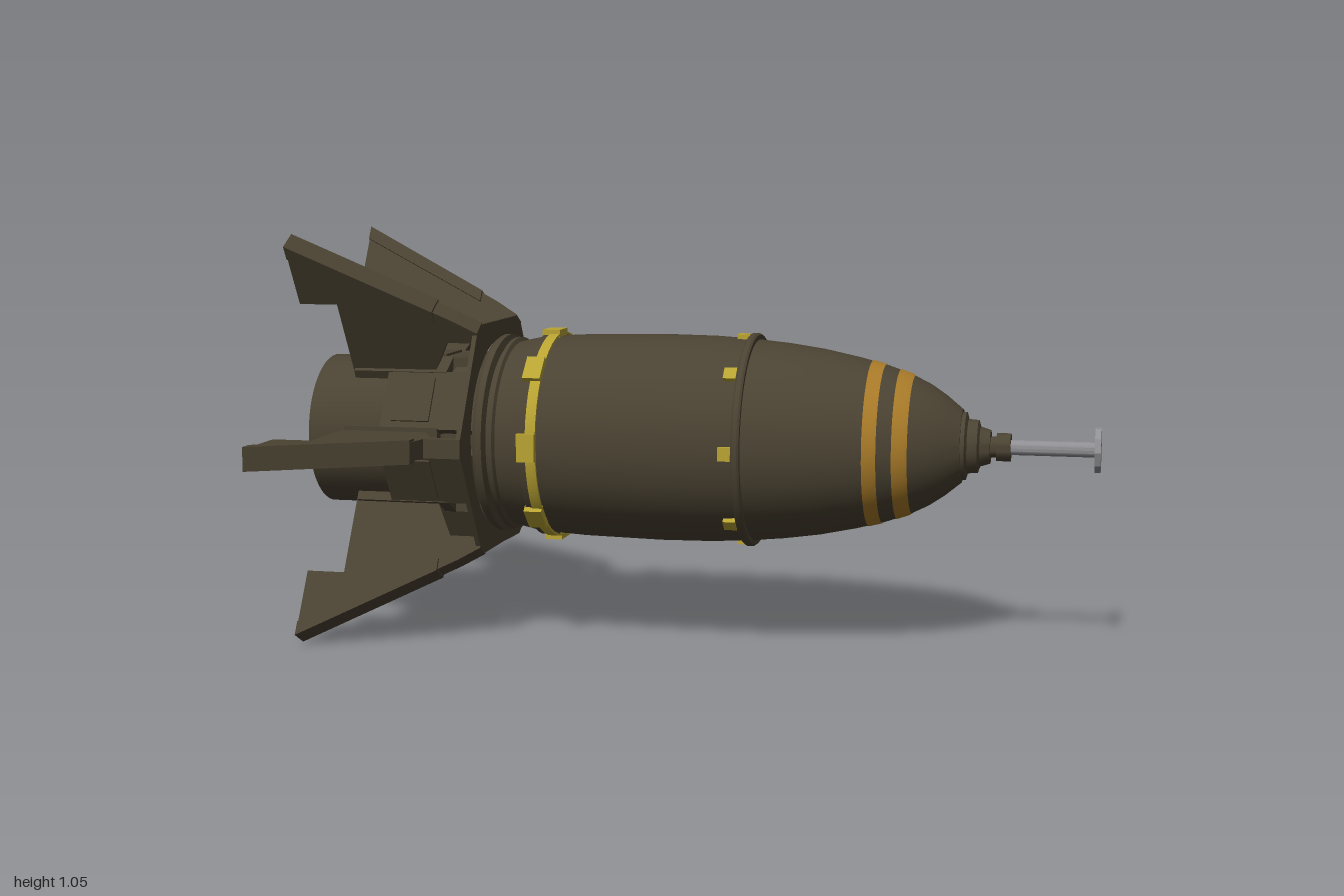
import * as THREE from 'three';
import { toCreasedNormals } from 'three/addons/utils/BufferGeometryUtils.js';

const mat = (name, color, side = THREE.FrontSide) => {
  const m = new THREE.MeshStandardMaterial({ color, side });
  m.name = name;
  return m;
};

export function createModel() {
  const olive = mat('olive drab', 0x4a4232);
  const gold = mat('ochre stripe', 0xa87a28);
  const yellow = mat('yellow paint', 0xb8a332);
  const steel = mat('steel', 0x909094);

  const model = new THREE.Group();
  model.name = 'finnedBomb';
  const bomb = new THREE.Group();
  bomb.name = 'bombAssembly';
  bomb.position.y = 0.523;
  model.add(bomb);

  const add = (name, geo, material, parent = bomb) => {
    const mesh = new THREE.Mesh(geo, material);
    mesh.name = name;
    parent.add(mesh);
    return mesh;
  };

  // Turned part: profile of [x, radius] revolved about the x axis
  const turned = (name, profile, material, sides = 48) => {
    const geo = new THREE.LatheGeometry(profile.map(([x, r]) => new THREE.Vector2(r, x)), sides);
    geo.rotateZ(-Math.PI / 2);
    return add(name, toCreasedNormals(geo, 0.5), material);
  };

  // Group turned around the long axis; its +y points radially outward
  const spoke = (name, angle) => {
    const g = new THREE.Group();
    g.name = name;
    g.rotation.x = angle;
    bomb.add(g);
    return g;
  };

  // Flat plate in the x/radius plane, centred on its thickness
  const plate = (points, thickness) => {
    const shape = new THREE.Shape(points.map(([x, r]) => new THREE.Vector2(x, r)));
    const geo = new THREE.ExtrudeGeometry(shape, { depth: thickness, bevelEnabled: false });
    return geo.translate(0, 0, -thickness / 2);
  };

  // Main casing and nose
  const hull = [
    [-0.42, 0.254], [-0.3, 0.261], [-0.1, 0.265], [0.03, 0.263], [0.13, 0.257],
    [0.22, 0.248], [0.31, 0.235], [0.4, 0.216], [0.47, 0.198], [0.53, 0.177],
    [0.58, 0.152], [0.62, 0.125], [0.66, 0.092],
  ];
  turned('casing', [
    [-0.54, 0], [-0.54, 0.25], [-0.53, 0.257], [-0.515, 0.257], [-0.51, 0.235], [-0.505, 0.235],
    [-0.5, 0.25], [-0.49, 0.25], [-0.485, 0.24], ...hull, [0.66, 0],
  ], olive, 64);
  turned('fuzeCollar', [
    [0.65, 0], [0.65, 0.085], [0.67, 0.085], [0.675, 0.068], [0.7, 0.066], [0.705, 0.05],
    [0.73, 0.042], [0.73, 0.026], [0.745, 0.026], [0.745, 0.035], [0.78, 0.035], [0.78, 0],
  ], olive, 32);
  turned('fuzeRod', [[0.77, 0.019], [0.99, 0.019]], steel, 16);
  turned('fuzeDisc', [[0.985, 0], [0.985, 0.057], [1, 0.057], [1, 0]], steel, 10);

  // Painted nose stripes following the hull curve
  const hullRadius = (x) => {
    const i = hull.findIndex((p) => p[0] >= x);
    const [x0, r0] = hull[i - 1], [x1, r1] = hull[i];
    return r0 + (r1 - r0) * (x - x0) / (x1 - x0);
  };
  for (const [a, b] of [[0.433, 0.467], [0.503, 0.54]]) {
    const stops = [a, ...hull.map((p) => p[0]).filter((x) => x > a && x < b), b];
    turned('noseStripe', stops.map((x) => [x, hullRadius(x) + 0.002]), gold, 64);
  }

  // Rear and forward bands, each with eight yellow lugs
  turned('rearBand', [[-0.415, 0.25], [-0.415, 0.262], [-0.375, 0.264], [-0.375, 0.25]], olive);
  turned('rearBandPaint', [[-0.398, 0.262], [-0.398, 0.266], [-0.372, 0.266], [-0.372, 0.26]], yellow);
  turned('forwardBand', [[0.122, 0.25], [0.122, 0.268], [0.127, 0.272], [0.138, 0.272], [0.143, 0.268], [0.143, 0.25]], olive);
  for (let i = 0; i < 8; i++) {
    const g = spoke('lugs', i * Math.PI / 4);
    add('rearLug', new THREE.BoxGeometry(0.046, 0.02, 0.07).translate(-0.395, 0.264, 0), yellow, g);
    add('forwardLug', new THREE.BoxGeometry(0.032, 0.016, 0.034).translate(0.106, 0.262, 0), yellow, g);
  }

  // Hollow tail tube: outer wall, rim, inner wall and bulkhead
  turned('tailTube', [
    [-0.75, 0], [-0.75, 0.17], [-1, 0.17], [-1, 0.195], [-0.73, 0.195], [-0.725, 0.189],
    [-0.715, 0.195], [-0.65, 0.195], [-0.645, 0.189], [-0.635, 0.195], [-0.53, 0.195],
  ], olive);

  // Thin hexagonal frame in front of the fins
  const hex = new THREE.Shape();
  for (let i = 0; i < 6; i++) {
    for (const d of [-0.07, 0.07]) {
      const a = i * Math.PI / 3 + d;
      hex[i === 0 && d < 0 ? 'moveTo' : 'lineTo'](0.327 * Math.cos(a), 0.327 * Math.sin(a));
    }
  }
  hex.closePath();
  hex.holes.push(new THREE.Path().absarc(0, 0, 0.245, 0, Math.PI * 2, true));
  const frame = new THREE.ExtrudeGeometry(hex, { depth: 0.012, bevelEnabled: false, curveSegments: 32 });
  add('hexFrame', frame.rotateY(Math.PI / 2).translate(-0.557, 0, 0), olive);

  // Six fins with a thicker leading edge, and access panels between them
  for (let i = 0; i < 6; i++) {
    const angle = Math.PI / 6 + i * Math.PI / 3;
    const g = spoke('tailFin', angle);
    const sideways = Math.abs(Math.cos(angle)) < 0.01;
    const front = sideways ? [[-0.65, 0.395], [-0.64, 0.33]] : [[-0.6, 0.365]];
    add('finPlate', plate([
      [-0.9, 0.185], [-0.69, 0.185], [-0.63, 0.3], [-0.545, 0.3], [-0.545, 0.33],
      ...front.reverse(), [-1, 0.583], [-1, 0.412], [-0.9, 0.412],
    ], 0.048), olive, g);
    add('finLeadingEdge', plate([
      [-1, 0.55], [-0.65, 0.365], [-0.65, 0.397], [-1, 0.587],
    ], 0.06), olive, g);
    add('finRoot', new THREE.BoxGeometry(0.25, 0.03, 0.07).translate(-0.77, 0.2, 0), olive, g);

    const p = spoke('accessPanel', i * Math.PI / 3);
    add('panel', new THREE.BoxGeometry(0.25, 0.03, 0.16).translate(-0.675, 0.187, 0), olive, p);
    add('panelDoor', new THREE.BoxGeometry(0.1, 0.008, 0.12).translate(-0.72, 0.204, 0), olive, p);
  }

  return model;
}
